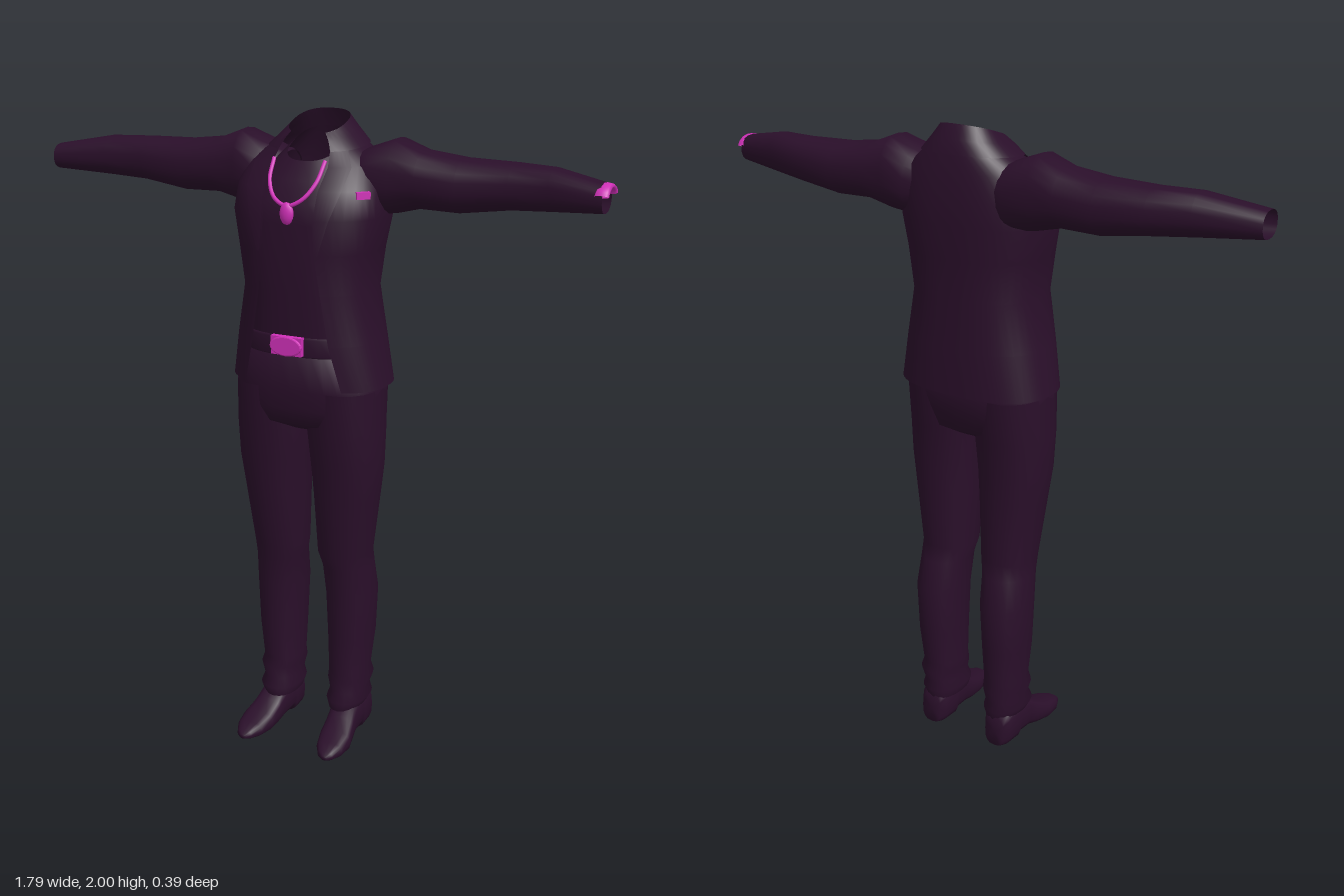
import * as THREE from 'three';

const cloth = new THREE.MeshStandardMaterial({ color: 0x2a0f2a, side: THREE.DoubleSide });
cloth.name = 'dark plum';
const trim = new THREE.MeshStandardMaterial({ color: 0xd030b8, side: THREE.DoubleSide });
trim.name = 'magenta';

const spow = (v, e) => Math.sign(v) * Math.abs(v) ** e;

// Skin a list of rings of points; closed rings share their first vertex.
function loft(name, rings, closed = true, caps = false, material = cloth) {
  const n = rings[0].length, pos = [], idx = [];
  rings.forEach(r => r.forEach(p => pos.push(...p)));
  const cols = closed ? n : n - 1;
  for (let i = 0; i < rings.length - 1; i++) {
    for (let j = 0; j < cols; j++) {
      const a = i * n + j, b = i * n + (j + 1) % n;
      idx.push(a, b, a + n, b, b + n, a + n);
    }
  }
  if (caps) {
    [0, rings.length - 1].forEach(k => {
      const c = pos.length / 3, s = [0, 0, 0];
      rings[k].forEach(p => p.forEach((v, i) => { s[i] += v / n; }));
      pos.push(...s);
      for (let j = 0; j < n; j++) {
        const a = k * n + j, b = k * n + (j + 1) % n;
        idx.push(...(k ? [a, b, c] : [b, a, c]));
      }
    });
  }
  const g = new THREE.BufferGeometry();
  g.setAttribute('position', new THREE.Float32BufferAttribute(pos, 3));
  g.setIndex(idx);
  g.computeVertexNormals();
  const m = new THREE.Mesh(g, material);
  m.name = name;
  return m;
}

// Horizontal ring, tilted from yBack to yFront, running over angles t0..t1 (0 = front).
function ring([yBack, yFront, hw, zf, zb], n, t0 = 0, t1 = Math.PI * 2, open = false, grow = 0) {
  const zc = (zf + zb) / 2, d = (zf - zb) / 2 + grow, out = [];
  for (let i = 0; i < n; i++) {
    const t = t0 + (t1 - t0) * i / (open ? n - 1 : n);
    const c = spow(Math.cos(t), 0.8);
    out.push([(hw + grow) * spow(Math.sin(t), 0.8), yBack + (yFront - yBack) * (c + 1) / 2, zc + d * c]);
  }
  return out;
}

// Upright section between inner and outer x.
const legRing = s => ([y, xi, xo, zf, zb]) => {
  const out = [];
  for (let i = 0; i < 20; i++) {
    const t = i / 20 * Math.PI * 2;
    out.push([s * ((xi + xo) / 2 + (xo - xi) / 2 * spow(Math.sin(t), 0.9)), y,
      (zf + zb) / 2 + (zf - zb) / 2 * spow(Math.cos(t), 0.9)]);
  }
  return s > 0 ? out : out.reverse();
};

// Section across an arm.
const armRing = s => ([x, yb, yt, zf, zb]) => {
  const out = [];
  for (let i = 0; i < 18; i++) {
    const t = i / 18 * Math.PI * 2 * s;
    out.push([s * x, (yb + yt) / 2 + (yt - yb) / 2 * spow(Math.cos(t), 0.85),
      (zf + zb) / 2 + (zf - zb) / 2 * spow(Math.sin(t), 0.85)]);
  }
  return out.reverse();
};

// Section across a shoe, flat on the ground.
const shoeRing = s => ([z, xc, hw, y0, y1]) => {
  const out = [];
  for (let i = 0; i < 16; i++) {
    const t = i / 16 * Math.PI * 2 * s;
    out.push([s * (xc + hw * spow(Math.sin(t), 0.7)), (y0 + y1) / 2 + (y1 - y0) / 2 * spow(Math.cos(t), 0.7), z]);
  }
  return s > 0 ? out.reverse() : out.reverse();
};

// yBack, yFront, half width, zFront, zBack, half width of the front opening
const JACKET = [
  [1.21, 1.21, 0.25, 0.14, -0.19, 0.16], [1.35, 1.35, 0.226, 0.15, -0.19, 0.125],
  [1.5, 1.5, 0.2, 0.15, -0.185, 0.1], [1.62, 1.62, 0.217, 0.155, -0.19, 0.085],
  [1.72, 1.72, 0.237, 0.15, -0.195, 0.08], [1.8, 1.8, 0.23, 0.127, -0.193, 0.085],
  [1.87, 1.86, 0.2, 0.075, -0.185, 0.09], [1.92, 1.9, 0.14, 0.05, -0.175, 0.082],
  [1.96, 1.925, 0.105, 0.04, -0.165, 0.07], [2.0, 1.945, 0.085, 0.025, -0.15, 0.055],
];
const SHIRT = [
  [1.3, 1.3, 0.2, 0.13, -0.16], [1.5, 1.5, 0.183, 0.137, -0.17], [1.7, 1.7, 0.21, 0.14, -0.175],
  [1.78, 1.76, 0.2, 0.125, -0.175], [1.87, 1.82, 0.15, 0.09, -0.165], [1.95, 1.87, 0.08, 0.045, -0.14],
];
const HIPS = [
  [1.055, 1.06, 0.1, 0.06, -0.1], [1.08, 1.09, 0.215, 0.115, -0.14], [1.14, 1.14, 0.233, 0.128, -0.155],
  [1.2, 1.2, 0.234, 0.135, -0.17], [1.34, 1.34, 0.2, 0.134, -0.16],
];
const LEG = [
  [0.1, 0.064, 0.17, 0.04, -0.135], [0.13, 0.054, 0.187, 0.045, -0.142], [0.16, 0.064, 0.176, 0.032, -0.138],
  [0.2, 0.054, 0.19, 0.034, -0.146], [0.23, 0.057, 0.18, 0.028, -0.14], [0.35, 0.052, 0.194, 0.032, -0.15],
  [0.5, 0.045, 0.2, 0.037, -0.155], [0.6, 0.04, 0.195, 0.05, -0.132], [0.65, 0.027, 0.196, 0.062, -0.12],
  [0.85, 0.018, 0.222, 0.085, -0.125], [0.95, 0.012, 0.234, 0.1, -0.13],
  [1.06, 0.002, 0.237, 0.112, -0.138], [1.2, 0, 0.234, 0.125, -0.16],
];
const ARM = [
  [0.1, 1.74, 1.88, 0, -0.15], [0.17, 1.71, 1.91, 0.035, -0.18], [0.25, 1.72, 1.938, 0.022, -0.18],
  [0.33, 1.74, 1.907, 0.016, -0.177], [0.45, 1.737, 1.893, 0.01, -0.172], [0.6, 1.757, 1.89, -0.01, -0.155],
  [0.72, 1.766, 1.888, 0, -0.123],
];
// z, centre x, half width, bottom, top
const SHOE = [
  [-0.135, 0.125, 0.035, 0.005, 0.11], [-0.115, 0.125, 0.048, 0, 0.13], [-0.055, 0.125, 0.052, 0, 0.135],
  [-0.045, 0.126, 0.05, 0.012, 0.135], [0.01, 0.128, 0.048, 0.01, 0.12], [0.05, 0.133, 0.05, 0.002, 0.092],
  [0.1, 0.14, 0.054, 0, 0.066], [0.15, 0.144, 0.045, 0.003, 0.05], [0.185, 0.146, 0.026, 0.008, 0.037],
  [0.197, 0.147, 0.01, 0.012, 0.026],
];

function tube(name, pts, r, closed = false) {
  const curve = new THREE.CatmullRomCurve3(pts.map(p => new THREE.Vector3(...p)), closed);
  const m = new THREE.Mesh(new THREE.TubeGeometry(curve, 48, r, 8, closed), trim);
  m.name = name;
  return m;
}

export function createModel() {
  const model = new THREE.Group();
  model.name = 'suit';
  const startAngle = s => Math.asin((s[5] / s[2]) ** 1.25);

  // Open jacket over a shirt
  model.add(loft('jacket', JACKET.map(s => {
    const t = startAngle(s);
    return ring(s, 41, t, Math.PI * 2 - t, true);
  }), false));
  model.add(loft('shirt', SHIRT.map(s => ring(s, 32))));

  // Lapels folded back along the opening
  const lapelWidth = [0.05, 0.2, 0.32, 0.4, 0.45, 0.35];
  for (const s of [1, -1]) {
    model.add(loft(s > 0 ? 'leftLapel' : 'rightLapel', JACKET.slice(3, 9).map((sec, i) => {
      const t = startAngle(sec);
      const pts = ring(sec, 6, t, t + lapelWidth[i], true, 0.007).map(([x, y, z]) => [s * x, y, z]);
      return s > 0 ? pts : pts.reverse();
    }), false));
  }
  // Folded collar
  model.add(loft('collar', JACKET.slice(7).map((s, i) => {
    const t = startAngle(s);
    return ring(s, 31, t, Math.PI * 2 - t, true, i === 2 ? 0 : 0.008);
  }), false));

  // Trousers, sleeves and shoes
  model.add(loft('trouserSeat', HIPS.map(s => ring(s, 32)), true, true));
  model.add(loft('belt', [[1.31, 0.2], [1.315, 0.206], [1.365, 0.205], [1.37, 0.198]]
    .map(([y, w]) => ring([y, y, w, w - 0.06, -w + 0.03], 32))));
  for (const s of [1, -1]) {
    const side = s > 0 ? 'left' : 'right';
    const cuff = s > 0 ? [0.875, 1.778, 1.86, 0.016, -0.081] : [0.9, 1.778, 1.856, 0.018, -0.075];
    model.add(loft(side + 'Leg', LEG.map(legRing(s))));
    model.add(loft(side + 'Sleeve', [...ARM, cuff].map(armRing(s))));
    model.add(loft(side + 'Shoe', SHOE.map(shoeRing(s)), true, true));
  }

  // Necklace with pendant
  const half = [[0.082, 1.878, 0.068], [0.074, 1.82, 0.112], [0.043, 1.775, 0.142]];
  model.add(tube('necklace', [...half, [0, 1.757, 0.15],
    ...half.map(([x, y, z]) => [-x, y, z]).reverse()], 0.006));
  const pendant = new THREE.Mesh(new THREE.SphereGeometry(1, 12, 8), trim);
  pendant.name = 'pendant';
  pendant.scale.set(0.022, 0.033, 0.014);
  pendant.position.set(0, 1.735, 0.15);
  model.add(pendant);

  // Belt buckle
  const plate = new THREE.Shape();
  plate.absellipse(0, 0, 0.048, 0.026, 0, Math.PI * 2);
  const buckle = new THREE.Group();
  buckle.name = 'buckle';
  const base = new THREE.Mesh(new THREE.BoxGeometry(0.1, 0.056, 0.018), trim);
  const boss = new THREE.Mesh(new THREE.ExtrudeGeometry(plate,
    { depth: 0.006, bevelSize: 0.004, bevelThickness: 0.004, bevelSegments: 2 }), trim);
  base.name = 'bucklePlate';
  boss.name = 'buckleBoss';
  boss.position.z = 0.006;
  buckle.add(base, boss);
  buckle.position.set(0, 1.345, 0.15);
  model.add(buckle);

  // Pocket square
  const square = new THREE.Mesh(new THREE.BoxGeometry(0.04, 0.02, 0.02), trim);
  square.name = 'pocketSquare';
  square.position.set(0.203, 1.79, 0.072);
  square.rotation.y = 0.7;
  model.add(square);

  // Bracelet arching over the left cuff
  const arc = [];
  for (let i = 0; i <= 8; i++) {
    const t = (i / 8 - 0.5) * 2.6;
    arc.push([0, 1.82 + 0.034 * Math.cos(t), -0.032 + 0.046 * Math.sin(t)]);
  }
  const bracelet = tube('bracelet', arc, 0.008);
  bracelet.scale.x = 2.6;
  bracelet.position.x = 0.872;
  model.add(bracelet);
  return model;
}
